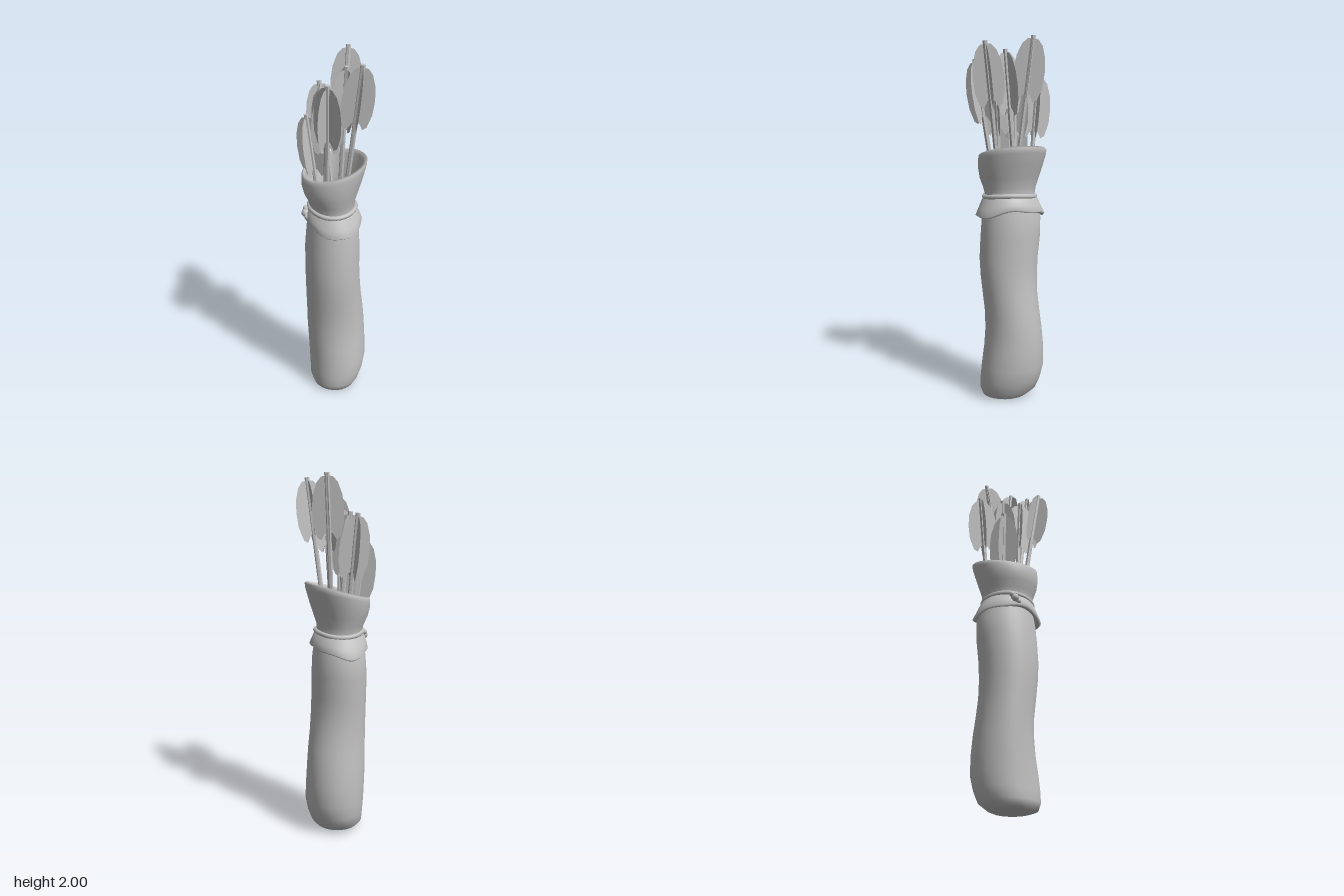
import * as THREE from 'three';

const grey = new THREE.MeshStandardMaterial({ color: 0xc0c0c0, side: THREE.DoubleSide });
grey.name = 'plain grey';
const SIDES = 36;

// Skin through rows of [y, xMin, xMax, zMin, zMax]; lift(a, row) bends a row up or down.
function loft(name, rows, lift = () => 0) {
  const pos = [], index = [];
  rows.forEach(([y, x0, x1, z0, z1], r) => {
    for (let j = 0; j < SIDES; j++) {
      const a = (j / SIDES) * Math.PI * 2;
      pos.push((x0 + x1) / 2 + Math.cos(a) * (x1 - x0) / 2,
        y + lift(a, r),
        (z0 + z1) / 2 + Math.sin(a) * (z1 - z0) / 2);
      if (r === rows.length - 1) continue;
      const p = r * SIDES + j, q = r * SIDES + (j + 1) % SIDES;
      index.push(p, p + SIDES, q + SIDES, p, q + SIDES, q);
    }
  });
  const geo = new THREE.BufferGeometry();
  geo.setAttribute('position', new THREE.Float32BufferAttribute(pos, 3));
  geo.setIndex(index);
  geo.computeVertexNormals();
  const mesh = new THREE.Mesh(geo, grey);
  mesh.name = name;
  return mesh;
}

// Outline of one feather, measured outwards from the shaft and down from the nock
const vaneShape = new THREE.Shape([
  [0, -0.015], [0.03, -0.02], [0.055, -0.05], [0.075, -0.11], [0.083, -0.18],
  [0.08, -0.26], [0.06, -0.33], [0.04, -0.345], [0.02, -0.31], [0, -0.3],
].map(([x, y]) => new THREE.Vector2(x, y)));
const vaneGeo = new THREE.ShapeGeometry(vaneShape);
const LENGTH = 0.95;
const shaftGeo = new THREE.CylinderGeometry(0.013, 0.013, LENGTH, 6).toNonIndexed();
shaftGeo.computeVertexNormals();

// Arrow hanging from its nock; lean is the sideways drift per unit of height
function arrow([x, y, z, leanX, leanZ, turn]) {
  const group = new THREE.Group();
  group.name = 'arrow';
  const shaft = new THREE.Mesh(shaftGeo, grey);
  shaft.name = 'shaft';
  shaft.position.y = -LENGTH / 2;
  group.add(shaft);
  for (let i = 0; i < 4; i++) {
    const vane = new THREE.Mesh(vaneGeo, grey);
    vane.name = 'feather';
    vane.rotation.y = -THREE.MathUtils.degToRad(turn + i * 90);
    group.add(vane);
  }
  group.position.set(x, y, z);
  group.quaternion.setFromUnitVectors(new THREE.Vector3(0, -1, 0),
    new THREE.Vector3(leanX, -1, leanZ).normalize());
  return group;
}

export function createModel() {
  const model = new THREE.Group();
  model.name = 'quiverOfArrows';

  // Long sagging sack with a rounded, flat bottom
  model.add(loft('sack', [
    [0.005, -0.01, -0.01, 0.02, 0.02],
    [0.005, -0.11, 0.09, -0.08, 0.12],
    [0.015, -0.132, 0.11, -0.11, 0.15],
    [0.05, -0.145, 0.138, -0.155, 0.165],
    [0.11, -0.145, 0.163, -0.175, 0.168],
    [0.19, -0.146, 0.181, -0.19, 0.162],
    [0.3, -0.15, 0.18, -0.188, 0.145],
    [0.4, -0.155, 0.175, -0.18, 0.135],
    [0.5, -0.158, 0.165, -0.168, 0.136],
    [0.6, -0.162, 0.15, -0.16, 0.145],
    [0.7, -0.165, 0.14, -0.16, 0.155],
    [0.8, -0.166, 0.135, -0.166, 0.16],
    [0.92, -0.163, 0.137, -0.178, 0.155],
    [1.03, -0.152, 0.132, -0.18, 0.148],
    [1.13, -0.135, 0.112, -0.145, 0.13],
  ]));

  // Flared mouth with a rolled rim that dips to the right, and the lining inside it
  const tilt = [0, 0, 0, 0.01, 0.025, 0.04, 0.045, 0.045, 0.04, 0.02];
  model.add(loft('mouth', [
    [1.12, -0.135, 0.112, -0.148, 0.13],
    [1.16, -0.135, 0.107, -0.148, 0.13],
    [1.2, -0.145, 0.106, -0.157, 0.138],
    [1.25, -0.165, 0.125, -0.175, 0.155],
    [1.31, -0.176, 0.15, -0.192, 0.165],
    [1.36, -0.175, 0.17, -0.203, 0.167],
    [1.383, -0.172, 0.174, -0.205, 0.166],
    [1.39, -0.162, 0.164, -0.196, 0.158],
    [1.37, -0.152, 0.153, -0.186, 0.148],
    [1.28, -0.145, 0.12, -0.17, 0.14],
    [1.17, -0.12, 0.094, -0.135, 0.118],
    [1.05, -0.13, 0.11, -0.15, 0.13],
    [0.95, -0.13, 0.11, -0.15, 0.13],
    [0.94, -0.01, -0.01, -0.01, -0.01],
  ], (a, r) => (tilt[r] || 0) * Math.cos(a)));

  // Gathered cuff below the tie, longer at front and back
  const droop = [0.3, 1, 1, 0.7, 0.3, 0];
  model.add(loft('cuff', [
    [1.075, -0.14, 0.12, -0.165, 0.14],
    [1.057, -0.155, 0.135, -0.195, 0.172],
    [1.066, -0.162, 0.143, -0.204, 0.184],
    [1.1, -0.158, 0.134, -0.185, 0.165],
    [1.135, -0.148, 0.122, -0.165, 0.146],
    [1.16, -0.134, 0.106, -0.145, 0.128],
  ], (a, r) => droop[r] * (0.023 * Math.cos(2 * a) + 0.006 * Math.sin(5 * a))));

  // Cord around the neck with a small knot on the right
  const points = [];
  for (let i = 0; i < 16; i++) {
    const a = (i / 16) * Math.PI * 2;
    points.push(new THREE.Vector3(-0.013 + 0.124 * Math.cos(a),
      1.155 + 0.008 * Math.sin(2 * a + 1), -0.008 + 0.14 * Math.sin(a)));
  }
  const cord = new THREE.Mesh(new THREE.TubeGeometry(
    new THREE.CatmullRomCurve3(points, true), 48, 0.013, 8, true), grey);
  cord.name = 'cord';
  model.add(cord);
  [[-0.16, 1.125, -0.02, 0.022], [-0.155, 1.145, -0.035, 0.016], [-0.155, 1.11, 0, 0.016]]
    .forEach(([x, y, z, r]) => {
      const knot = new THREE.Mesh(new THREE.SphereGeometry(r, 10, 8), grey);
      knot.name = 'knot';
      knot.position.set(x, y, z);
      model.add(knot);
    });

  // Arrows: nock x, y, z, lean in x and z, turn of the feathers
  [
    [-0.04, 1.8, -0.185, 0.05, 0.1, 8],
    [0.095, 2.0, -0.1, -0.08, 0.1, 20],
    [-0.135, 1.66, -0.075, 0.12, 0.03, 40],
    [-0.06, 1.8, -0.055, 0.09, 0.03, 50],
    [-0.05, 1.82, 0.06, -0.02, -0.05, 10],
    [0.048, 1.93, 0.04, -0.02, -0.09, -17],
    [-0.08, 1.88, 0.165, 0.03, -0.15, 48],
    [0.095, 1.97, 0.167, -0.08, -0.13, 8],
  ].forEach((a) => model.add(arrow(a)));

  return model;
}
